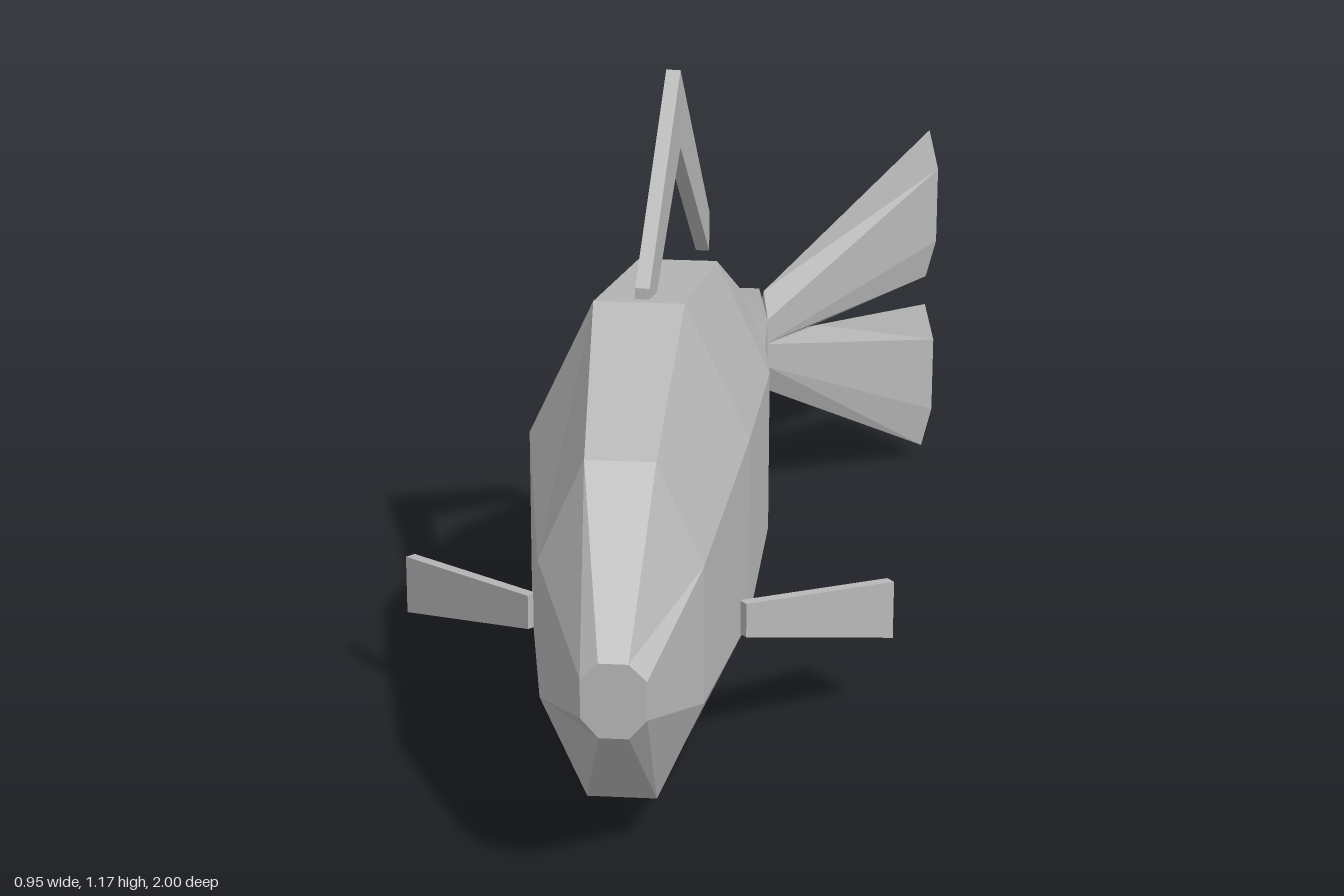
import * as THREE from 'three';

// Closed faceted skin through rings of [x, y, z] points, each ring running
// counter-clockwise when looking from the first ring towards the last.
function loft(name, rings, material) {
  const n = rings[0].length, pos = [];
  const tri = (a, b, c) => pos.push(...a, ...b, ...c);
  for (let i = 0; i < rings.length - 1; i++) {
    for (let j = 0; j < n; j++) {
      const k = (j + 1) % n, A = rings[i], B = rings[i + 1];
      tri(A[j], B[j], A[k]);
      tri(A[k], B[j], B[k]);
    }
  }
  const first = rings[0], last = rings[rings.length - 1];
  for (let j = 1; j < n - 1; j++) {
    tri(first[0], first[j], first[j + 1]);
    tri(last[0], last[j + 1], last[j]);
  }
  const geometry = new THREE.BufferGeometry();
  geometry.setAttribute('position', new THREE.Float32BufferAttribute(pos, 3));
  geometry.computeVertexNormals();
  const mesh = new THREE.Mesh(geometry, material);
  mesh.name = name;
  return mesh;
}

// Thin straight fin through stations [x, z, bottom, top].
function fin(name, stations, half, material) {
  const a = stations[0], b = stations[stations.length - 1];
  const dx = b[0] - a[0], dz = b[1] - a[1], len = Math.hypot(dx, dz);
  const px = -dz / len * half, pz = dx / len * half;
  return loft(name, stations.map(([x, z, y0, y1]) => [
    [x + px, y0, z + pz], [x + px, y1, z + pz],
    [x - px, y1, z - pz], [x - px, y0, z - pz],
  ]), material);
}

export function createModel() {
  const model = new THREE.Group();
  model.name = 'fish';
  const grey = new THREE.MeshStandardMaterial({ color: 0xb8b8b8, flatShading: true });
  grey.name = 'grey';

  // Body: octagonal sections from mouth to tail root
  // z right, z rest, x: left edge, left flat, right flat, right edge; y: bottom, low, high, top
  const sections = [
    [1.0, 1.0, -0.065, -0.035, 0.015, 0.045, 0.325, 0.36, 0.43, 0.46],
    [0.77, 0.77, -0.16, -0.08, 0.04, 0.12, 0.095, 0.28, 0.535, 0.72],
    [0.38, 0.38, -0.22, -0.105, 0.055, 0.17, 0, 0.25, 0.605, 0.855],
    [-0.04, -0.04, -0.165, -0.065, 0.08, 0.18, 0.035, 0.25, 0.565, 0.785],
    [-0.4, -0.4, -0.04, 0.01, 0.1, 0.15, 0.18, 0.3, 0.48, 0.6],
    [-0.655, -0.69, 0.065, 0.075, 0.12, 0.14, 0.285, 0.345, 0.44, 0.495],
  ];
  model.add(loft('body', sections.map(([zr, z, x0, x1, x2, x3, y0, y1, y2, y3]) => [
    [x3, y1, zr], [x3, y2, zr], [x2, y3, z], [x1, y3, z],
    [x0, y2, z], [x0, y1, z], [x1, y0, z], [x2, y0, z],
  ]), grey));

  // Tail: two mirrored lobes swept to one side, split by a notch
  const mid = 0.39;
  const upper = [
    [[0.14, mid, -0.655], [0.14, 0.44, -0.655], [0.13, 0.495, -0.675],
      [0.118, 0.44, -0.69], [0.118, mid, -0.69], [0.235, mid, -0.775]],
    [[0.475, 0.5, -1], [0.475, 0.66, -1], [0.455, 0.745, -1],
      [0.437, 0.66, -1], [0.437, 0.5, -1], [0.455, 0.42, -1]],
  ];
  const lower = upper.map(r => r.map(([x, y, z]) => [x, 2 * mid - y - 0.003, z]).reverse());
  model.add(loft('upperTailLobe', upper, grey), loft('lowerTailLobe', lower, grey));

  // Bent dorsal fin
  model.add(fin('dorsalFin', [
    [-0.022, 0.35, 0.78, 0.87], [0.006, 0.04, 1.03, 1.175], [0.036, -0.265, 0.725, 0.805],
  ], 0.013, grey));

  // Side fins, sweeping out and back
  model.add(fin('leftSideFin', [[0.165, 0.457, 0.26, 0.325], [0.42, 0.228, 0.16, 0.273]], 0.01, grey));
  model.add(fin('rightSideFin', [[-0.21, 0.457, 0.26, 0.325], [-0.47, 0.195, 0.16, 0.273]], 0.01, grey));

  return model;
}
